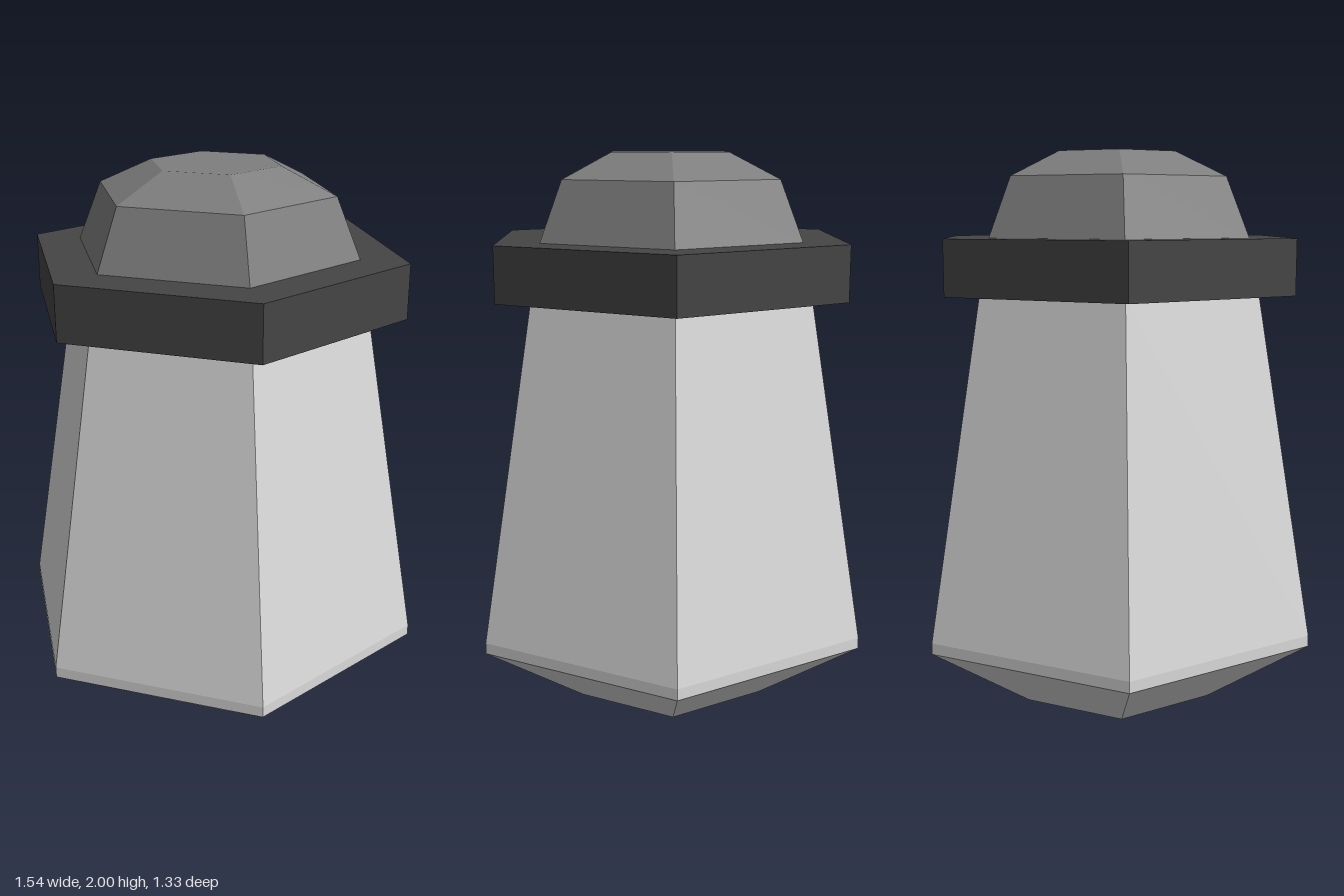
import * as THREE from 'three';

const bodyGrey = new THREE.MeshStandardMaterial({ name: 'light grey', color: 0xdcdcdc });
const collarGrey = new THREE.MeshStandardMaterial({ name: 'charcoal', color: 0x454545 });
const domeGrey = new THREE.MeshStandardMaterial({ name: 'mid grey', color: 0x7f7f7f });

// Six-sided solid from [radius, y] pairs, bottom to top, closed at both ends, with a corner on +x
function hexSolid(name, material, profile) {
  const points = [[0, profile[0][1]], ...profile, [0, profile[profile.length - 1][1]]]
    .map(([r, y]) => new THREE.Vector2(r, y));
  const geometry = new THREE.LatheGeometry(points, 6, Math.PI / 2).toNonIndexed();
  geometry.computeVertexNormals(); // flat facets
  const mesh = new THREE.Mesh(geometry, material);
  mesh.name = name;
  return mesh;
}

export function createModel() {
  const model = new THREE.Group();
  model.name = 'hexagonalShaker';
  model.add(
    // tapered body with a bevelled foot
    hexSolid('body', bodyGrey, [[0.385, 0], [0.77, 0.26], [0.77, 0.3], [0.555, 1.52]]),
    // wide collar
    hexSolid('collar', collarGrey, [[0.69, 1.505], [0.69, 1.7]]),
    // faceted cap
    hexSolid('dome', domeGrey, [[0.52, 1.695], [0.43, 1.91], [0.235, 2]]),
  );
  return model;
}
